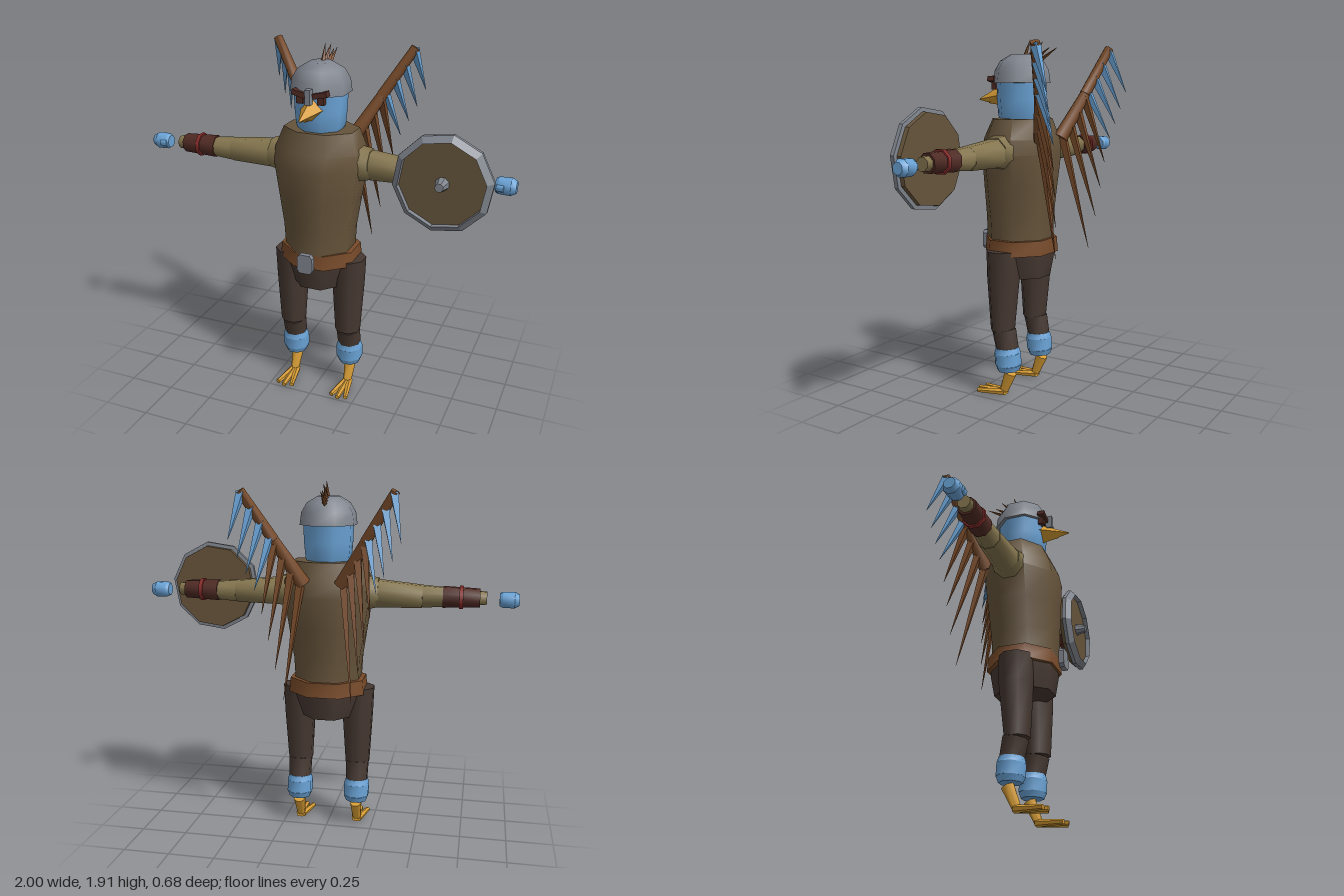
import * as THREE from 'three';
import { toCreasedNormals } from 'three/addons/utils/BufferGeometryUtils.js';

const mat = (name, color) => {
  const m = new THREE.MeshStandardMaterial({ color });
  m.name = name;
  return m;
};
const V = (x, y, z) => new THREE.Vector3(x, y, z);

export function createModel() {
  const model = new THREE.Group();
  model.name = 'birdWarrior';

  const tunic = mat('tunic brown', 0x66543b);
  const linen = mat('sleeve tan', 0x85764f);
  const trousers = mat('trouser brown', 0x463831);
  const leather = mat('leather brown', 0x784b2a);
  const bracer = mat('bracer maroon', 0x4f2a23);
  const red = mat('strap red', 0x8a2e2c);
  const blue = mat('plumage blue', 0x6aa3d6);
  const gold = mat('beak gold', 0xd69c34);
  const steel = mat('steel grey', 0x7f848d);

  const add = (name, geo, material, parent = model) => {
    const m = new THREE.Mesh(geo, material);
    m.name = name;
    parent.add(m);
    return m;
  };

  // Eight-sided body from rings [y, half width, half depth, centre z], top to bottom
  const loft = (rings, capped = true) => {
    const n = rings.length - 1;
    const g = new THREE.CylinderGeometry(1, 1, 1, 8, n, !capped, Math.PI / 8);
    const p = g.attributes.position;
    for (let i = 0; i < p.count; i++) {
      const [y, w, d, cz] = rings[Math.round((0.5 - p.getY(i)) * n)];
      p.setXYZ(i, p.getX(i) * w / 0.924, y, p.getZ(i) * d / 0.924 + cz);
    }
    return toCreasedNormals(g, 0.9);
  };

  // Tapered limb between two points
  const limb = (a, b, ra, rb, sides = 8) => {
    const dir = b.clone().sub(a);
    let g = new THREE.CylinderGeometry(rb, ra, dir.length(), sides, 1, false, sides === 8 ? Math.PI / 8 : 0);
    g = toCreasedNormals(g, sides < 6 ? 0.1 : 0.9);
    g.applyQuaternion(new THREE.Quaternion().setFromUnitVectors(V(0, 1, 0), dir.normalize()));
    const c = a.clone().add(b).multiplyScalar(0.5);
    return g.translate(c.x, c.y, c.z);
  };

  // Torso, hips and belt
  add('tunic', loft([
    [1.505, 0.185, 0.14, 0.065], [1.4, 0.225, 0.18, 0.07], [1.32, 0.23, 0.192, 0.073],
    [1.15, 0.205, 0.18, 0.078], [0.98, 0.18, 0.168, 0.082], [0.84, 0.172, 0.166, 0.082],
  ]), tunic);
  add('hips', loft([[0.82, 0.178, 0.165, 0.075], [0.76, 0.17, 0.165, 0.075], [0.655, 0.137, 0.15, 0.075]]), trousers);
  add('belt', loft([[0.867, 0.198, 0.175, 0.073], [0.787, 0.206, 0.18, 0.073]]), leather);
  const plate = new THREE.Shape();
  [[-0.042, -0.035], [-0.028, -0.052], [0.028, -0.052], [0.042, -0.035],
    [0.042, 0.035], [0.028, 0.052], [-0.028, 0.052], [-0.042, 0.035]]
    .forEach(([x, y], i) => (i ? plate.lineTo(x, y) : plate.moveTo(x, y)));
  add('buckle', new THREE.ExtrudeGeometry(plate, { depth: 0.028, bevelEnabled: false }), steel)
    .position.set(0, 0.832, 0.275);

  // Head and helmet
  add('head', loft([[1.74, 0.128, 0.125, 0.07], [1.6, 0.123, 0.122, 0.072], [1.52, 0.116, 0.116, 0.072],
    [1.48, 0.1, 0.1, 0.07]]), blue);
  add('helmet', loft([[1.838, 0.055, 0.055, 0.07], [1.805, 0.108, 0.108, 0.07], [1.755, 0.136, 0.134, 0.07],
    [1.69, 0.144, 0.142, 0.07]]), steel);
  add('noseGuard', new THREE.BoxGeometry(0.028, 0.075, 0.035), steel).position.set(0, 1.695, 0.23);

  // Beak
  add('upperBeak', limb(V(0, 1.625, 0.18), V(0, 1.603, 0.342), 0.062, 0.004, 4), gold);
  add('lowerBeak', limb(V(0, 1.597, 0.18), V(0, 1.588, 0.28), 0.028, 0.006, 4), gold);

  // Crest spikes along the crown
  [[0.05, 1.825, 0.015, 1.915], [0.025, 1.825, -0.03, 1.885], [0.005, 1.825, -0.06, 1.9],
    [-0.02, 1.815, -0.1, 1.87], [-0.035, 1.8, -0.145, 1.868]].forEach(([z0, y0, z1, y1]) =>
    add('crestFeather', limb(V(0, y0, z0), V(0, y1, z1), 0.013, 0.001, 4), leather));

  // Paired parts; s = +1 is the model's left
  for (const s of [1, -1]) {
    const side = s > 0 ? 'left' : 'right';
    const P = (x, y, z) => V(x * s, y, z);
    const part = (name, a, b, ra, rb, m, n) => add(side + name, limb(P(...a), P(...b), ra, rb, n), m);

    // Brow and eye guard
    const brow = add(side + 'Brow', new THREE.BoxGeometry(0.075, 0.026, 0.04), bracer);
    brow.position.set(0.055 * s, 1.705, 0.208);
    brow.rotation.z = 0.22 * s;
    add(side + 'EyeGuard', new THREE.BoxGeometry(0.034, 0.04, 0.03), bracer).position.set(0.055 * s, 1.675, 0.2);

    // Arm
    part('Shoulder', [0.17, 1.335, 0.068], [0.275, 1.34, 0.068], 0.1, 0.08, linen);
    part('UpperArm', [0.26, 1.335, 0.066], [0.505, 1.325, 0.066], 0.078, 0.063, linen);
    part('Forearm', [0.505, 1.326, 0.066], [0.835, 1.326, 0.07], 0.062, 0.035, linen);
    part('Bracer', [0.61, 1.326, 0.067], [0.8, 1.326, 0.07], 0.059, 0.05, bracer);
    part('BracerStrap', [0.695, 1.326, 0.068], [0.715, 1.326, 0.068], 0.063, 0.062, red);

    // Hand, tapered at both ends
    part('Palm', [0.915, 1.32, 0.07], [0.975, 1.32, 0.07], 0.042, 0.044, blue);
    part('Wrist', [0.9, 1.32, 0.07], [0.915, 1.32, 0.07], 0.034, 0.042, blue);
    part('Knuckles', [0.975, 1.32, 0.07], [1.0, 1.32, 0.07], 0.044, 0.03, blue);
    part('Thumb', [0.91, 1.318, 0.1], [0.945, 1.318, 0.105], 0.02, 0.018, blue);

    // Leg
    const leg = (name, rings, m) => add(side + name, loft(rings), m).position.set(0.163 * s, 0, 0);
    leg('Thigh', [[0.812, 0.086, 0.084, 0.085], [0.66, 0.08, 0.082, 0.085], [0.375, 0.064, 0.06, 0.09]], trousers);
    part('Shin', [0.163, 0.375, 0.082], [0.163, 0.265, 0.06], 0.066, 0.062, trousers);
    part('FeatherCuffTop', [0.163, 0.28, 0.062], [0.163, 0.25, 0.06], 0.064, 0.073, blue);
    part('FeatherCuff', [0.163, 0.25, 0.06], [0.163, 0.185, 0.056], 0.073, 0.073, blue);
    part('FeatherCuffBottom', [0.163, 0.185, 0.056], [0.163, 0.153, 0.055], 0.073, 0.06, blue);
    part('Ankle', [0.163, 0.14, 0.04], [0.163, 0.032, 0.085], 0.033, 0.023, gold);
    for (const t of [-1, 0, 1]) {
      part('Toe', [0.163 + t * 0.008, 0.026, 0.075], [0.163 + t * 0.042, 0.016, 0.245 - Math.abs(t) * 0.015],
        0.02, 0.013, gold, 6);
    }

    // Wing bones
    const root = [0.1, 1.4, -0.11], mid = [0.235, 1.63, -0.185], tip = [0.385, 1.875, -0.25];
    part('WingLowerBone', root, mid, 0.04, 0.028, leather);
    part('WingUpperBone', mid, tip, 0.03, 0.024, leather);

    // Hanging feathers: blue on the upper bone, brown on the lower
    const feathers = (name, from, to, tips, m) => tips.forEach((end, i) => {
      const a = P(...from).lerp(P(...to), 0.04 + 0.88 * i / (tips.length - 1));
      add(side + name, limb(a, P(...end), 0.027, 0.001, 4), m);
    });
    feathers('BlueFeather', tip, mid, [[0.425, 1.64, -0.338], [0.385, 1.55, -0.325],
      [0.345, 1.47, -0.315], [0.305, 1.39, -0.305]], blue);
    feathers('BrownFeather', mid, root, [[0.275, 1.265, -0.288], [0.245, 1.13, -0.28],
      [0.215, 0.975, -0.267], [0.178, 0.805, -0.245]], leather);
  }

  // Round shield on the left arm, facing forward
  const shield = new THREE.Group();
  shield.name = 'shield';
  shield.position.set(0.667, 1.33, 0.142);
  shield.rotation.x = Math.PI / 2;
  model.add(shield);
  const turn = -Math.PI / 18;
  const board = new THREE.CylinderGeometry(0.232, 0.228, 0.045, 10, 1, false, turn);
  add('shieldBoard', toCreasedNormals(board.translate(0, 0.0225, 0), 0.3), tunic, shield);
  const rim = [[0.215, 0.02], [0.25, 0.024], [0.25, 0.045], [0.218, 0.073], [0.215, 0.02]]
    .map(([r, y]) => new THREE.Vector2(r, y));
  add('shieldRim', toCreasedNormals(new THREE.LatheGeometry(rim, 10, turn), 0.3), steel, shield);
  const boss = new THREE.CylinderGeometry(0.022, 0.036, 0.06, 8, 1, false, Math.PI / 8);
  add('shieldBoss', toCreasedNormals(boss.translate(0, 0.073, 0), 0.3), steel, shield);

  return model;
}
